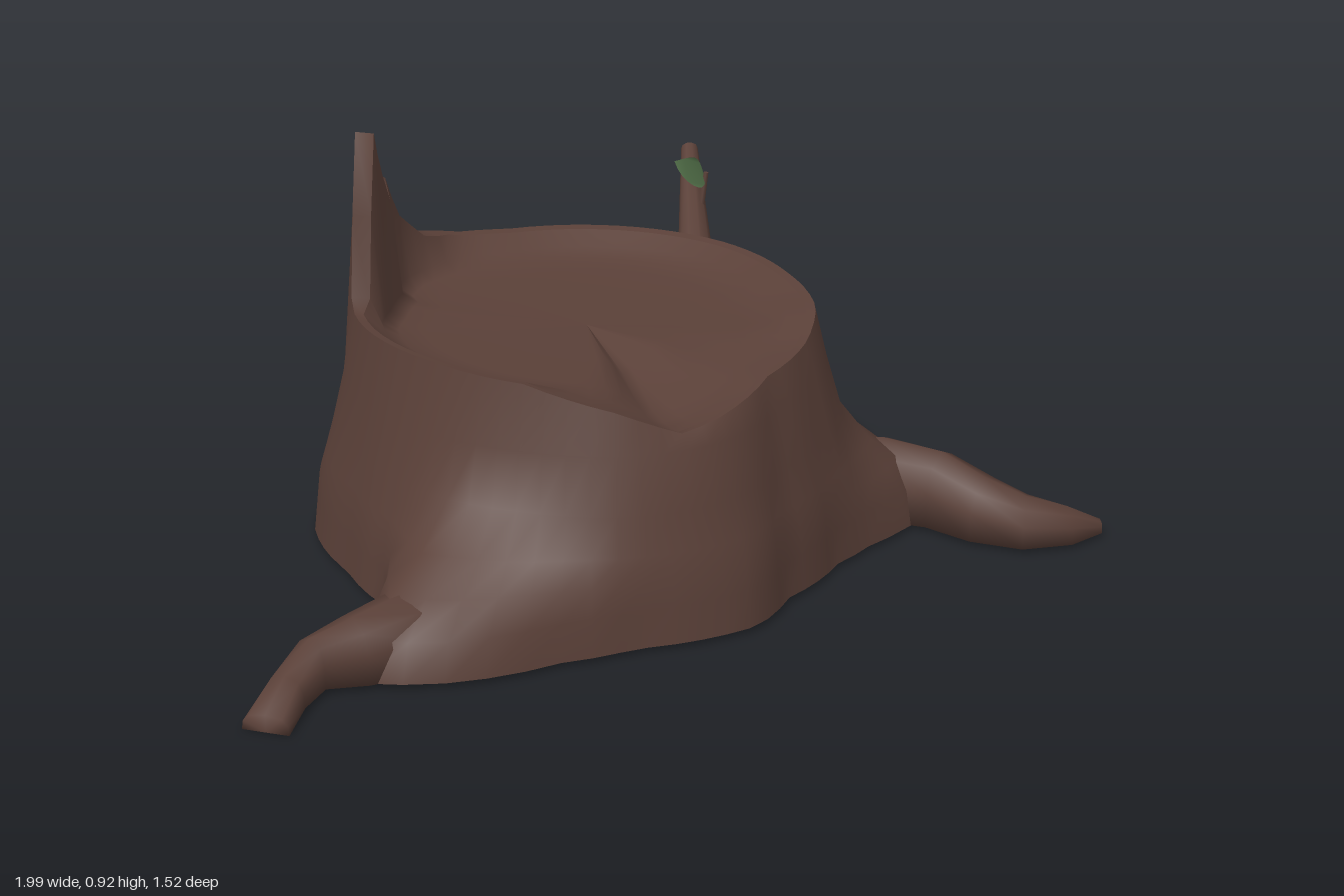
import * as THREE from 'three';

const CX = 0.2, CZ = -0.18, COLS = 72;

// [angle in degrees, value] keys around the trunk: 0 = left (+x), 90 = front, 270 = back
const BASE = [[0, .58], [27, .61], [40, .74], [50, .77], [56, .71], [65, .64], [75, .6], [95, .6], [108, .66], [120, .665],
  [132, .67], [145, .73], [159, .86], [167, .92], [172, .95], [175, .8], [182, .63], [202, .59], [226, .61], [246, .6],
  [267, .58], [289, .55], [310, .547], [330, .58], [343, .598], [360, .58]];
const RIM = [[0, .49], [29, .48], [53, .5], [90, .49], [112, .54], [123, .55], [136, .55], [154, .53], [180, .52], [205, .52],
  [220, .515], [230, .495], [245, .485], [250, .51], [260, .52], [270, .515], [297, .49], [333, .49], [360, .49]];
const HEIGHT = [[0, .535], [30, .532], [53, .52], [70, .49], [90, .472], [110, .44], [120, .425], [135, .485], [155, .535],
  [180, .545], [215, .55], [220, .57], [230, .915], [245, .73], [250, .765], [260, .65], [270, .58], [285, .55], [300, .54],
  [360, .535]];
// Wall spread by height: ordinary taper and root flare
const TAPER = [[0, 1], [.15, .85], [.28, .52], [.4, .25], [.55, 0]];
const FLARE = [[0, 1], [.09, .92], [.15, .64], [.2, .29], [.28, .02], [.4, 0]];

function sample(keys, t) {
  for (let i = 1; i < keys.length; i++) {
    const [a, va] = keys[i - 1], [b, vb] = keys[i];
    if (t <= b) return va + (vb - va) * (t - a) / (b - a);
  }
  return keys[keys.length - 1][1];
}

// Skin a series of equal closed rings, each an array of [x, y, z]
function loft(rings) {
  const n = rings[0].length, index = [];
  for (let j = 0; j < rings.length - 1; j++) {
    for (let i = 0; i < n; i++) {
      const a = j * n + i, b = j * n + (i + 1) % n;
      index.push(a, a + n, b, b, a + n, b + n);
    }
  }
  const g = new THREE.BufferGeometry();
  g.setAttribute('position', new THREE.Float32BufferAttribute(rings.flat(2), 3));
  g.setIndex(index);
  g.computeVertexNormals();
  return g;
}

// Ring round the trunk; f(base, rim, height) gives [radius, y]
function ring(f) {
  return Array.from({ length: COLS }, (_, i) => {
    const deg = i * 360 / COLS, a = deg * Math.PI / 180;
    const [r, y] = f(sample(BASE, deg), sample(RIM, deg), sample(HEIGHT, deg));
    return [CX + r * Math.cos(a), y, CZ + r * Math.sin(a)];
  });
}

// Half-round root along stations [x, z, halfWidth, height, floor]
function root(stations) {
  const profile = [[1, 0], [.95, .5], [.7, .85], [0, 1], [-.7, .85], [-.95, .5], [-1, 0]];
  const rings = stations.map(([x, z, w, h, floor = .01], i) => {
    const p = stations[Math.max(i - 1, 0)], q = stations[Math.min(i + 1, stations.length - 1)];
    const d = new THREE.Vector2(q[0] - p[0], q[1] - p[1]).normalize();
    return profile.map(([s, t]) => [x - d.y * s * w, floor + t * h, z + d.x * s * w]);
  });
  const [x, z, , , floor = .01] = stations[stations.length - 1];
  rings.push(profile.map(() => [x, floor, z]));
  return loft(rings);
}

function rod(from, to, r0, r1, sides) {
  const a = new THREE.Vector3(...from), b = new THREE.Vector3(...to), d = b.clone().sub(a);
  const g = new THREE.CylinderGeometry(r1, r0, d.length(), sides);
  g.applyQuaternion(new THREE.Quaternion().setFromUnitVectors(new THREE.Vector3(0, 1, 0), d.normalize()));
  const m = a.add(b).multiplyScalar(.5);
  return g.translate(m.x, m.y, m.z);
}

export function createModel() {
  const group = new THREE.Group();
  const bark = new THREE.MeshStandardMaterial({ color: 0x5a4038 });
  bark.name = 'bark brown';
  const green = new THREE.MeshStandardMaterial({ color: 0x506d47, side: THREE.DoubleSide });
  green.name = 'leaf green';
  const add = (name, geometry, material = bark) => {
    const mesh = new THREE.Mesh(geometry, material);
    mesh.name = name;
    group.add(mesh);
  };

  // Outer wall, flaring towards the roots and rising to the splintered edge
  const wall = [.01, .09, .15, .2, .28, .4].map(y => ring((b, r) => {
    const diff = b - r;
    return [r + Math.min(diff, .12) * sample(TAPER, y) + Math.max(diff - .12, 0) * sample(FLARE, y), y];
  }));
  const edge = ring((b, r, h) => [r, h]);
  const lip = ring((b, r, h) => [r - (h > .56 ? .04 : .02), h - .004]);
  add('trunkWall', loft([...wall, edge]));
  add('trunkRim', loft([edge, lip]));

  // Gently dished top, falling towards the notch in the front
  add('trunkHollow', loft([lip,
    ring((b, r, h) => [r - .065, Math.min(h - .012, .508)]),
    ring((b, r, h) => [r - .1, Math.min(h - .014, .49)]),
    ring((b, r, h) => [r - .16, Math.min(h - .01, .482)]),
    ring((b, r, h) => [r * .4, Math.min(h + .01, .477)]),
    ring(() => [0, .472])]));
  add('trunkBottom', loft([ring(() => [0, .01]), wall[0]]));

  // Roots
  add('rightRoot', root([[-.45, 0, .09, .13], [-.58, -.025, .085, .145], [-.69, -.06, .07, .123], [-.78, -.094, .042, .1],
    [-.88, -.068, .043, .063], [-.975, -.03, .05, .038, 0]]));
  add('frontRoot', root([[.6, .1, .08, .12], [.67, .29, .085, .168], [.705, .43, .072, .158], [.7, .55, .07, .128],
    [.725, .64, .065, .1], [.785, .71, .042, .075], [.86, .75, .012, .03]]));

  // Side branch with a twig and one leaf
  add('branch', rod([.695, .405, -.252], [.985, .625, -.5], .047, .02, 10));
  add('twig', rod([.862, .53, -.37], [.87, .62, -.362], .008, .006, 6));
  const outline = new THREE.Shape();
  outline.moveTo(.872, .6);
  outline.bezierCurveTo(.885, .635, .86, .675, .79, .66);
  outline.bezierCurveTo(.79, .61, .83, .575, .872, .6);
  const leaf = new THREE.ShapeGeometry(outline, 8);
  const p = leaf.attributes.position;
  for (let i = 0; i < p.count; i++) p.setZ(i, -.355 - (p.getY(i) - .6) * .4 - 8 * (p.getX(i) - .835) ** 2);
  leaf.computeVertexNormals();
  add('leaf', leaf, green);

  return group;
}
